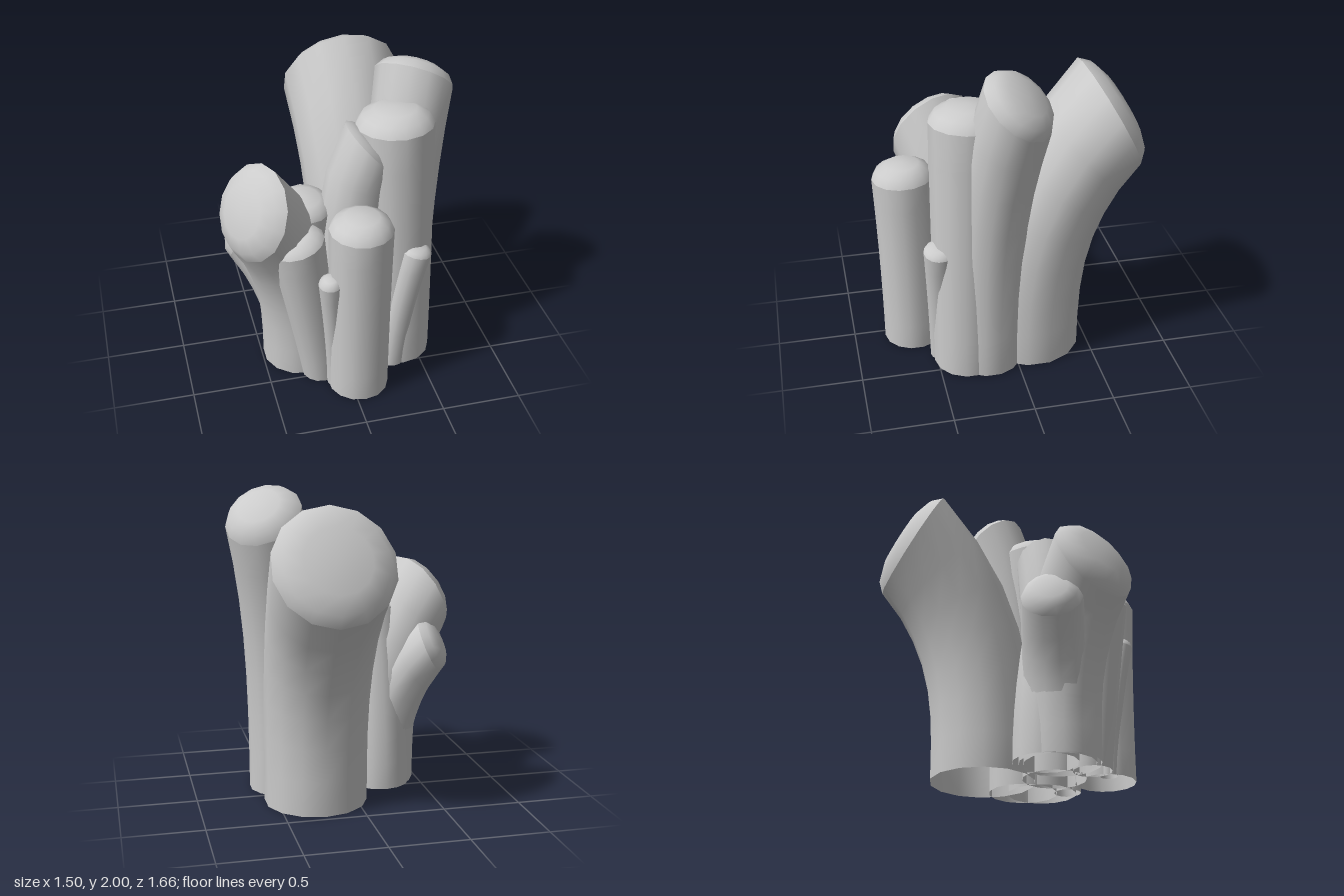
import * as THREE from 'three';

const SIDES = 14, RINGS = 7;
const UP = new THREE.Vector3(0, 1, 0);

// A stalk rises upright from its foot and leans towards its end; a higher bend leans later.
// foot: [x, z, radius], end: [x, y, z, radius]
// tilt: how much more the end face leans than the stalk, dome: cap height relative to the end radius
function buildStalk([footX, footZ, footR], [endX, endY, endZ, endR], bend, tilt, dome) {
  const positions = [], index = [];
  const centre = new THREE.Vector3(), axis = new THREE.Vector3();
  const q = new THREE.Quaternion(), v = new THREE.Vector3();

  const addRing = (radius, lift) => {
    for (let i = 0; i < SIDES; i++) {
      const a = (i / SIDES) * Math.PI * 2;
      v.set(Math.sin(a) * radius, lift, Math.cos(a) * radius).applyQuaternion(q).add(centre);
      positions.push(v.x, v.y, v.z);
    }
  };
  const joinRings = (a, b) => {
    for (let i = 0; i < SIDES; i++) {
      const j = (i + 1) % SIDES;
      index.push(a + i, a + j, b + j, a + i, b + j, b + i);
    }
  };

  // wall, open at the foot
  for (let k = 0; k <= RINGS; k++) {
    const t = k / RINGS, s = t ** bend;
    const slope = bend * t ** (bend - 1) * THREE.MathUtils.lerp(1, tilt, s);
    centre.set(THREE.MathUtils.lerp(footX, endX, s), t * endY, THREE.MathUtils.lerp(footZ, endZ, s));
    axis.set((endX - footX) * slope, endY, (endZ - footZ) * slope).normalize();
    q.setFromUnitVectors(UP, axis);
    addRing(THREE.MathUtils.lerp(footR, endR, s), 0);
    if (k > 0) joinRings((k - 1) * SIDES, k * SIDES);
  }

  // domed cap with its own rim, so that the edge stays sharp
  const cap = positions.length / 3;
  [[1, 0], [0.85, 0.55], [0.55, 0.9]].forEach(([width, height], k) => {
    addRing(width * endR, height * dome * endR);
    if (k > 0) joinRings(cap + (k - 1) * SIDES, cap + k * SIDES);
  });
  const apex = positions.length / 3;
  centre.addScaledVector(axis, dome * endR);
  positions.push(centre.x, centre.y, centre.z);
  for (let i = 0; i < SIDES; i++) {
    index.push(apex - SIDES + i, apex - SIDES + (i + 1) % SIDES, apex);
  }

  const geometry = new THREE.BufferGeometry();
  geometry.setAttribute('position', new THREE.Float32BufferAttribute(positions, 3));
  geometry.setIndex(index);
  geometry.computeVertexNormals();
  return geometry;
}

export function createModel() {
  const group = new THREE.Group();
  group.name = 'stalkCluster';
  const material = new THREE.MeshStandardMaterial({ color: 0xcccccc, side: THREE.DoubleSide });
  const addStalk = (name, foot, end, bend, tilt, dome) => {
    const mesh = new THREE.Mesh(buildStalk(foot, end, bend, tilt, dome), material);
    mesh.name = name;
    group.add(mesh);
  };

  // tall stalks
  addStalk('backStalk', [0.25, -0.13, 0.33], [0.23, 1.59, -0.63, 0.38], 3, 2, 0.28);
  addStalk('rightStalk', [0.41, 0.18, 0.22], [0.54, 1.82, 0.01, 0.25], 3, 2.5, 0.4);
  addStalk('rightFrontStalk', [0.39, 0.3, 0.22], [0.35, 1.67, 0.27, 0.24], 1.5, 1, 0.45);
  addStalk('middleStalk', [0.06, 0.28, 0.2], [0.18, 1.54, 0.28, 0.2], 5, 2.8, 0.25);
  addStalk('frontStalk', [0.05, 0.61, 0.19], [0.05, 1.19, 0.635, 0.195], 2, 1, 0.5);

  // left cluster
  addStalk('leftStalk', [-0.24, 0.22, 0.25], [-0.54, 1.22, 0.36, 0.3], 3, 2.8, 0.35);
  addStalk('leftBackStalk', [-0.24, 0.22, 0.22], [-0.57, 0.93, 0.08, 0.19], 2.5, 2.3, 0.45);
  addStalk('leftInnerStalk', [-0.24, 0.13, 0.2], [-0.21, 1.16, 0.25, 0.17], 2, 1, 0.4);
  addStalk('leftFrontStalk', [-0.16, 0.45, 0.12], [-0.31, 1.04, 0.47, 0.175], 1.1, 1.5, 0.4);

  // small shoots
  addStalk('rightShoot', [0.32, 0.45, 0.085], [0.45, 0.86, 0.475, 0.1], 1.5, 1, 0.4);
  addStalk('leftShoot', [-0.09, 0.58, 0.055], [-0.145, 0.85, 0.67, 0.075], 1.5, 1, 0.6);

  return group;
}
